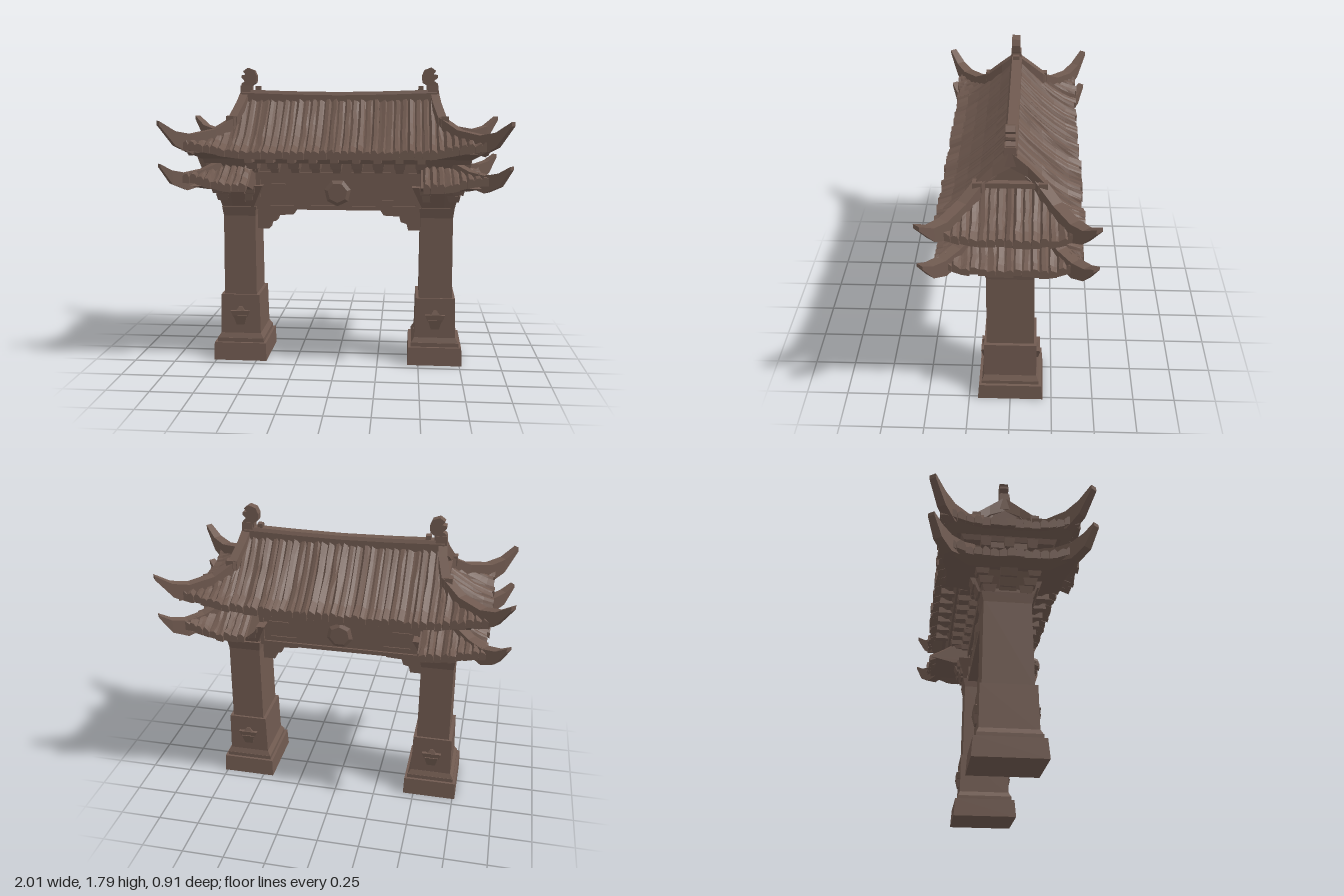
import * as THREE from 'three';
import { mergeGeometries } from 'three/addons/utils/BufferGeometryUtils.js';

const wood = new THREE.MeshStandardMaterial({ color: 0x705a50 });
wood.name = 'weathered brown';
wood.flatShading = true;

let seed = 7;
const rnd = () => ((seed = (seed * 16807) % 2147483647) / 2147483647) - 0.5;
const lerp = (a, b, t) => a + (b - a) * t;
const ramp = (v, a, b) => THREE.MathUtils.smoothstep(v, a, b);

// Closed solid through convex rings of [x, y, z] points, turned outward by its signed volume
function loft(rings) {
  const n = rings[0].length, tris = [];
  for (let i = 0; i + 1 < rings.length; i++)
    for (let j = 0; j < n; j++) {
      const k = (j + 1) % n, a = rings[i], b = rings[i + 1];
      tris.push([a[j], a[k], b[k]], [a[j], b[k], b[j]]);
    }
  const first = rings[0], last = rings[rings.length - 1];
  for (let j = 1; j + 1 < n; j++) {
    tris.push([first[0], first[j + 1], first[j]], [last[0], last[j], last[j + 1]]);
  }
  const o = new THREE.Vector3(...first[0]);
  let vol = 0;
  for (const t of tris) {
    const [p, q, r] = t.map((v) => new THREE.Vector3(...v).sub(o));
    vol += p.dot(q.cross(r));
  }
  if (vol < 0) tris.forEach((t) => t.reverse());
  const g = new THREE.BufferGeometry();
  g.setAttribute('position', new THREE.Float32BufferAttribute(tris.flat(2), 3));
  g.computeVertexNormals();
  return g;
}
const rect = (y, x0, x1, z0, z1) => [[x0, y, z0], [x1, y, z0], [x1, y, z1], [x0, y, z1]];
// Tapered block: bottom half sizes, then top half sizes
const block = (cx, cz, y0, y1, hx, hz, tx = hx, tz = hz) => loft([
  rect(y0, cx - hx, cx + hx, cz - hz, cz + hz), rect(y1, cx - tx, cx + tx, cz - tz, cz + tz)]);
// Upright plate cut from an outline in x and y
function plate(pts, depth, sx) {
  const ring = (z) => pts.map(([x, y]) => new THREE.Vector2(x, y));
  const g = new THREE.ExtrudeGeometry(new THREE.Shape(ring()), { depth, bevelEnabled: false });
  g.translate(0, 0, -depth / 2);
  if (sx < 0) g.rotateY(Math.PI);
  g.deleteAttribute('uv');
  return g;
}

// Rows of ragged tiles over a hipped roof with lifted corners
function tiles({ x0, z0, zTop, ex, ez, xIn, height, lift, whole }) {
  const parts = [];
  const rise = (x, z) => lift * ramp(Math.abs(x), x0 - 0.1, ex) * ramp(Math.abs(z), z0, ez);
  const zStart = (x) => (Math.abs(x) <= x0 ? zTop : lerp(z0, ez, (Math.abs(x) - x0) / (ex - x0)));
  const xStart = (z) => (Math.abs(z) <= z0 ? x0 : lerp(x0, ex, (Math.abs(z) - z0) / (ez - z0)));
  const strip = (a, w, point) => {
    const end = rnd() * 0.02, up = rnd() * 0.012, lean = rnd() * 0.012, rings = [];
    for (let i = 0; i <= 5; i++) {
      const wob = rnd() * 0.008;
      rings.push([[-w, -0.035], [-w, 0], [-w * 0.4, 0.014 + up + lean], [w * 0.5, 0.014 + up - lean], [w, 0], [w, -0.035]]
        .map(([da, dy]) => point(a + da + (dy > 0 ? wob : 0), i / 5, end, dy + wob * 0.5)));
    }
    parts.push(loft(rings));
  };
  const fill = (a0, a1, n, point) => {
    const w = (a1 - a0) / n / 2;
    for (let i = 0; i < n; i++) strip(a0 + w * (2 * i + 1), w * (1 + rnd() * 0.2), point);
  };
  for (const s of [-1, 1]) {
    const slope = (x, t, end, dy) => {
      const z = lerp(Math.min(zStart(x), ez), ez + end, t);
      return [x, height(Math.min(z, ez)) + rise(x, z) + dy, s * z];
    };
    if (whole) fill(-ex, ex, 42, slope);
    else for (const m of [[-ex, -xIn], [xIn, ex]]) fill(m[0], m[1], 9, slope);
    fill(-ez, ez, 17, (z, t, end, dy) => {
      const x = lerp(Math.min(xStart(z), ex), ex + end, t);
      const k = Math.min(1, (x - x0) / (ex - x0));
      return [s * x, height(lerp(z0, ez, k)) + rise(x, z) + dy, z];
    });
  }
  return mergeGeometries(parts);
}

// Upswept corner ridges; each station is x, z, top, bottom, half width
function hips(stations) {
  const parts = [];
  for (const sx of [-1, 1]) for (const sz of [-1, 1])
    parts.push(loft(stations.map(([x, z, t, b, w]) => {
      const dx = 0.6 * w, dz = 0.8 * w;
      return [[x - dx, b, z + dz], [x - dx, t, z + dz], [x + dx, t, z - dz], [x + dx, b, z - dz]]
        .map(([px, py, pz]) => [sx * px, py, sz * pz]);
    })));
  return mergeGeometries(parts);
}

export function createModel() {
  const model = new THREE.Group();
  model.name = 'gateway';
  const add = (name, parts) => {
    const list = [parts].flat().map((g) => (g.index ? g.toNonIndexed() : g));
    const mesh = new THREE.Mesh(list.length > 1 ? mergeGeometries(list) : list[0], wood);
    mesh.name = name;
    model.add(mesh);
  };

  for (const s of [-1, 1]) {
    const side = s > 0 ? 'left' : 'right', c = s * 0.6;
    // Pillar and its plinth
    add(side + 'Plinth', [block(c, 0, 0, 0.11, 0.165, 0.197, 0.161, 0.188),
      block(c, 0, 0.11, 0.135, 0.145, 0.172), block(c, 0, 0.135, 0.165, 0.143, 0.17, 0.125, 0.157)]);
    add(side + 'PillarBase', block(c, 0, 0.15, 0.41, 0.125, 0.157, 0.119, 0.153));
    add(side + 'Pillar', [block(c, 0, 0.41, 0.92, 0.1, 0.14, 0.097, 0.132),
      block(c, 0, 0.9, 0.96, 0.097, 0.132, 0.105, 0.145), block(c, 0, 0.95, 1.26, 0.1, 0.12)]);
    // Carved faces on the pillar base
    const carving = [];
    for (const z of [-1, 1]) carving.push(
      block(c, z * 0.155, 0.27, 0.31, 0.045, 0.015, 0.06, 0.02),
      block(c, z * 0.158, 0.22, 0.28, 0.025, 0.008, 0.042, 0.02),
      block(c, z * 0.155, 0.305, 0.335, 0.03, 0.016, 0.01, 0.005));
    add(side + 'Carving', carving);
    // Stepped bracket cluster under the lower eaves
    const br = [];
    [[0.95, 0.105, 0.14], [0.99, 0.135, 0.17], [1.035, 0.17, 0.2]].forEach(([y, hx, hz], i) => {
      br.push(block(c, 0, y, y + 0.055, 0.04, hz - 0.015, 0.045, hz + 0.01));
      br.push(block(c, 0, y, y + 0.055, hx - 0.015, 0.045, hx + 0.01, 0.05));
      for (const z of [-1, 1]) {
        br.push(block(c + s * hx * 0.72, z * hz * 0.72, y + 0.01, y + 0.05, 0.03, 0.03, 0.04, 0.04));
        if (i) br.push(block(c - s * hx * 0.45, z * hz * 0.8, y + 0.01, y + 0.05, 0.025, 0.025, 0.032, 0.032));
      }
    });
    br.push(block(c, 0, 0.96, 1.09, 0.09, 0.13, 0.15, 0.18));
    add(side + 'Brackets', br);
    const xs = (a, b) => [Math.min(s * a, s * b), Math.max(s * a, s * b)];
    add(side + 'LowerSoffit', loft([rect(1.075, ...xs(0.5, 0.77), -0.22, 0.22),
      rect(1.11, ...xs(0.5, 0.86), -0.36, 0.36), rect(1.21, ...xs(0.5, 0.71), -0.2, 0.2)]));
    add(side + 'UpperBlock', [block(c, 0, 1.18, 1.24, 0.11, 0.2, 0.13, 0.23), block(c, 0, 1.2, 1.235, 0.17, 0.1)]);
    // Stepped corbel beneath the beam
    add(side + 'Corbel', plate([[-0.51, 0.81], [-0.43, 0.81], [-0.42, 0.85], [-0.385, 0.86], [-0.375, 0.895],
      [-0.28, 0.9], [-0.25, 0.945], [-0.51, 0.945]], 0.1, -s));
    // Gable wall, its recessed frame and sloping ridges
    const tri = (x, b, h, t) => [[s * x, b, -h], [s * x, b, h], [s * x, t, 0]];
    const gable = [loft([tri(0.5, 1.44, 0.17, 1.62), tri(0.6, 1.44, 0.17, 1.62)]),
      block(s * 0.61, 0, 1.465, 1.495, 0.022, 0.15)];
    for (const z of [-1, 1]) {
      gable.push(loft([[0, 0.575, 1.665, 1.57], [0.09, 0.59, 1.59, 1.525], [0.18, 0.62, 1.505, 1.43]]
        .map(([d, x, t, b]) => [[x - 0.025, b], [x + 0.025, b], [x + 0.025, t], [x - 0.025, t]]
          .map(([px, py]) => [s * px, py, z * d]))));
      gable.push(block(s * 0.635, z * 0.17, 1.45, 1.51, 0.022, 0.025));
    }
    add(side + 'Gable', gable);
    // Curled finial at the ridge end
    add(side + 'Finial', [plate([[0.53, 1.64], [0.6, 1.64], [0.595, 1.7], [0.575, 1.715], [0.595, 1.735], [0.595, 1.75],
      [0.57, 1.755], [0.585, 1.775], [0.555, 1.795], [0.515, 1.78], [0.5, 1.745], [0.505, 1.705], [0.53, 1.69]], 0.05, s),
    block(s * 0.495, 0, 1.64, 1.685, 0.015, 0.02), block(s * 0.57, 0, 1.58, 1.69, 0.035, 0.035, 0.03, 0.03)]);
  }

  // Main beam with framed panels and a medallion on both faces
  const beam = [block(0, 0, 0.94, 1.17, 0.51, 0.1), block(0, 0, 1.125, 1.17, 0.52, 0.12), block(0, 0, 1.165, 1.26, 0.62, 0.1)];
  for (const z of [-1, 1]) {
    beam.push(block(0, z * 0.104, 0.94, 0.965, 0.5, 0.008));
    for (const x of [-1, 1]) beam.push(block(x * 0.488, z * 0.104, 0.96, 1.13, 0.014, 0.008),
      block(x * 0.38, z * 0.101, 1.09, 1.1, 0.06, 0.006), block(x * 0.35, z * 0.101, 0.99, 1.0, 0.08, 0.006));
    const disc = new THREE.CylinderGeometry(0.06, 0.09, 0.02, 7);
    disc.rotateX(z * Math.PI / 2).translate(0, 1.045, z * 0.105).deleteAttribute('uv');
    beam.push(disc);
  }
  add('beam', beam);

  // Bracket row below the upper eaves
  const row = [];
  for (let i = -4; i <= 4; i++) for (const z of [-1, 1]) row.push(
    block(i * 0.125, z * 0.12, 1.17, 1.21, 0.022, 0.04, 0.03, 0.05),
    block(i * 0.125, z * 0.17, 1.2, 1.245, 0.03, 0.06, 0.036, 0.07),
    block(i * 0.125, z * 0.28, 1.245, 1.285, 0.022, 0.06));
  for (const x of [-1, 1]) for (let i = -1; i <= 1; i++) row.push(
    block(x * 0.74, i * 0.13, 1.2, 1.25, 0.05, 0.025, 0.06, 0.03));
  add('eaveBrackets', row);
  add('upperSoffit', [block(0, 0, 1.235, 1.27, 0.78, 0.25, 0.79, 0.27), block(0, 0, 1.265, 1.305, 0.79, 0.29, 0.85, 0.355),
    block(0, 0, 1.3, 1.45, 0.72, 0.25, 0.56, 0.14)]);

  // Roof tiers
  add('lowerTiles', tiles({ x0: 0.7, z0: 0.2, zTop: 0.2, ex: 0.88, ez: 0.385, xIn: 0.51, lift: 0.05,
    height: (z) => 1.115 + 0.1 * Math.pow(Math.max(0, (0.385 - z) / 0.185), 1.2) }));
  add('lowerHips', hips([[0.69, 0.19, 1.25, 1.15, 0.03], [0.79, 0.275, 1.2, 1.11, 0.03], [0.87, 0.345, 1.185, 1.085, 0.03],
    [0.94, 0.4, 1.205, 1.125, 0.027], [0.995, 0.44, 1.245, 1.225, 0.02]]));
  add('upperTiles', tiles({ x0: 0.6, z0: 0.16, zTop: 0.02, ex: 0.88, ez: 0.385, lift: 0.05, whole: true,
    height: (z) => 1.305 + 0.3 * Math.pow(Math.max(0, (0.385 - z) / 0.365), 1.4) }));
  add('upperHips', hips([[0.61, 0.15, 1.51, 1.42, 0.03], [0.72, 0.245, 1.435, 1.35, 0.03], [0.84, 0.33, 1.41, 1.295, 0.03],
    [0.92, 0.385, 1.43, 1.345, 0.027], [0.995, 0.44, 1.49, 1.465, 0.02]]));

  // Sagging ridge along the top
  add('ridge', loft([[-0.59, 1.665], [-0.3, 1.655], [0, 1.65], [0.3, 1.655], [0.59, 1.665]].map(([x, t]) =>
    [[x, 1.56, -0.035], [x, 1.56, 0.035], [x, t - 0.02, 0.035], [x, t, 0.025], [x, t, -0.025], [x, t - 0.02, -0.035]])));
  return model;
}
